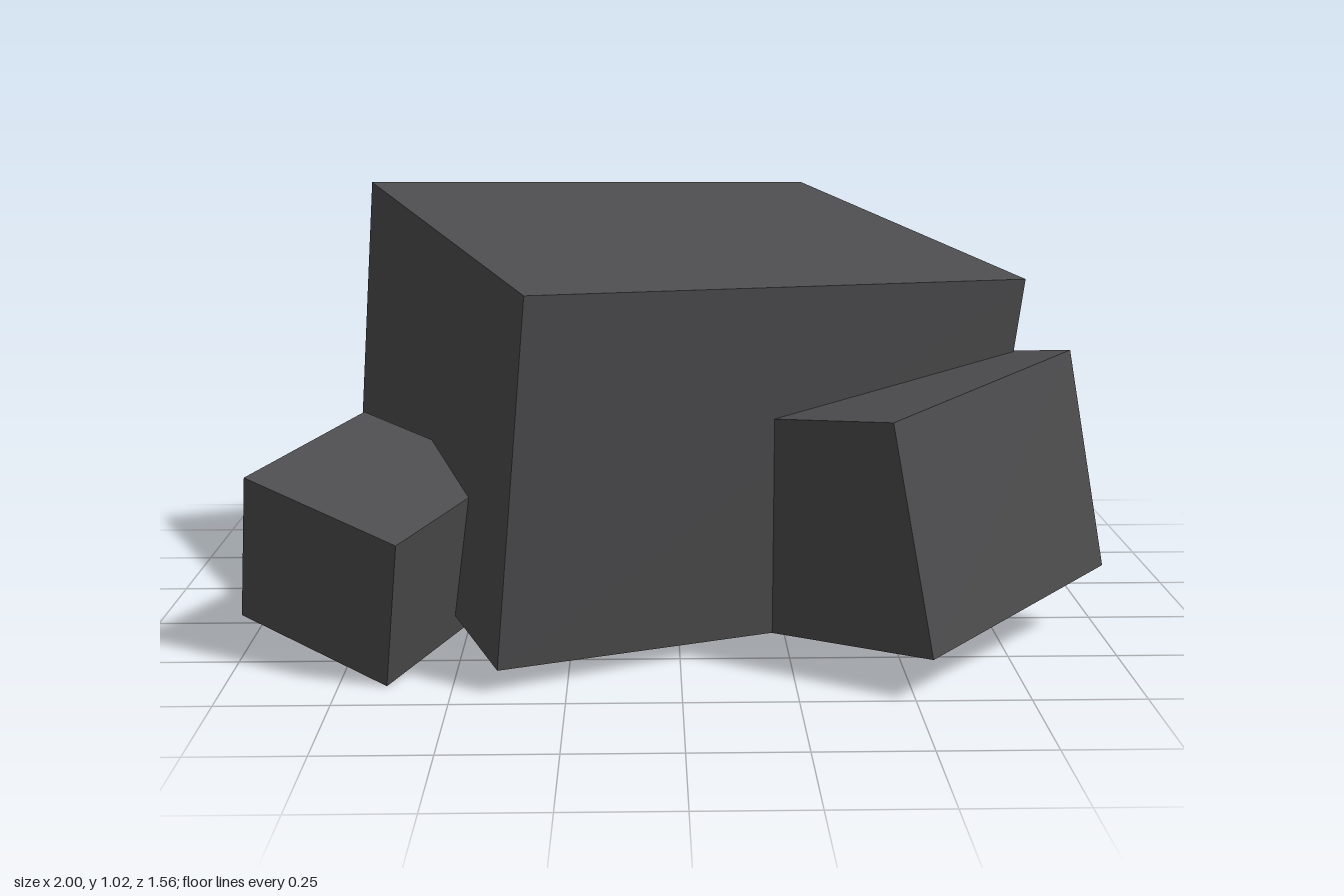
import * as THREE from 'three';

// Box placed by its centre and the directions of its x and y edges
function tiltedBox(name, size, centre, xDir, yDir, material) {
  const x = new THREE.Vector3(...xDir).normalize();
  const z = new THREE.Vector3().crossVectors(x, new THREE.Vector3(...yDir)).normalize();
  const y = new THREE.Vector3().crossVectors(z, x);
  const mesh = new THREE.Mesh(new THREE.BoxGeometry(...size), material);
  mesh.name = name;
  mesh.quaternion.setFromRotationMatrix(new THREE.Matrix4().makeBasis(x, y, z));
  mesh.position.set(...centre);
  return mesh;
}

export function createModel() {
  const group = new THREE.Group();
  group.name = 'blockCluster';
  const stone = new THREE.MeshStandardMaterial({ color: 0x4d4d4f, flatShading: true });
  stone.name = 'darkGrey';

  group.add(
    // Large central block, turned and tipped slightly forward
    tiltedBox('largeBlock', [1.253, 0.838, 1.046], [-0.015, 0.513, 0],
      [1.13, -0.055, -0.54], [0.08, 0.83, 0.08], stone),
    // Medium block sunk into the front left corner
    tiltedBox('mediumBlock', [0.627, 0.521, 0.64], [0.509, 0.344, 0.31],
      [0.465, 0.068, -0.415], [-0.095, 0.512, -0.025], stone),
    // Small block leaning on the right side
    tiltedBox('smallBlock', [0.416, 0.364, 0.413], [-0.695, 0.258, 0.42],
      [0.355, -0.095, 0.195], [0.045, 0.35, 0.09], stone),
  );
  return group;
}
